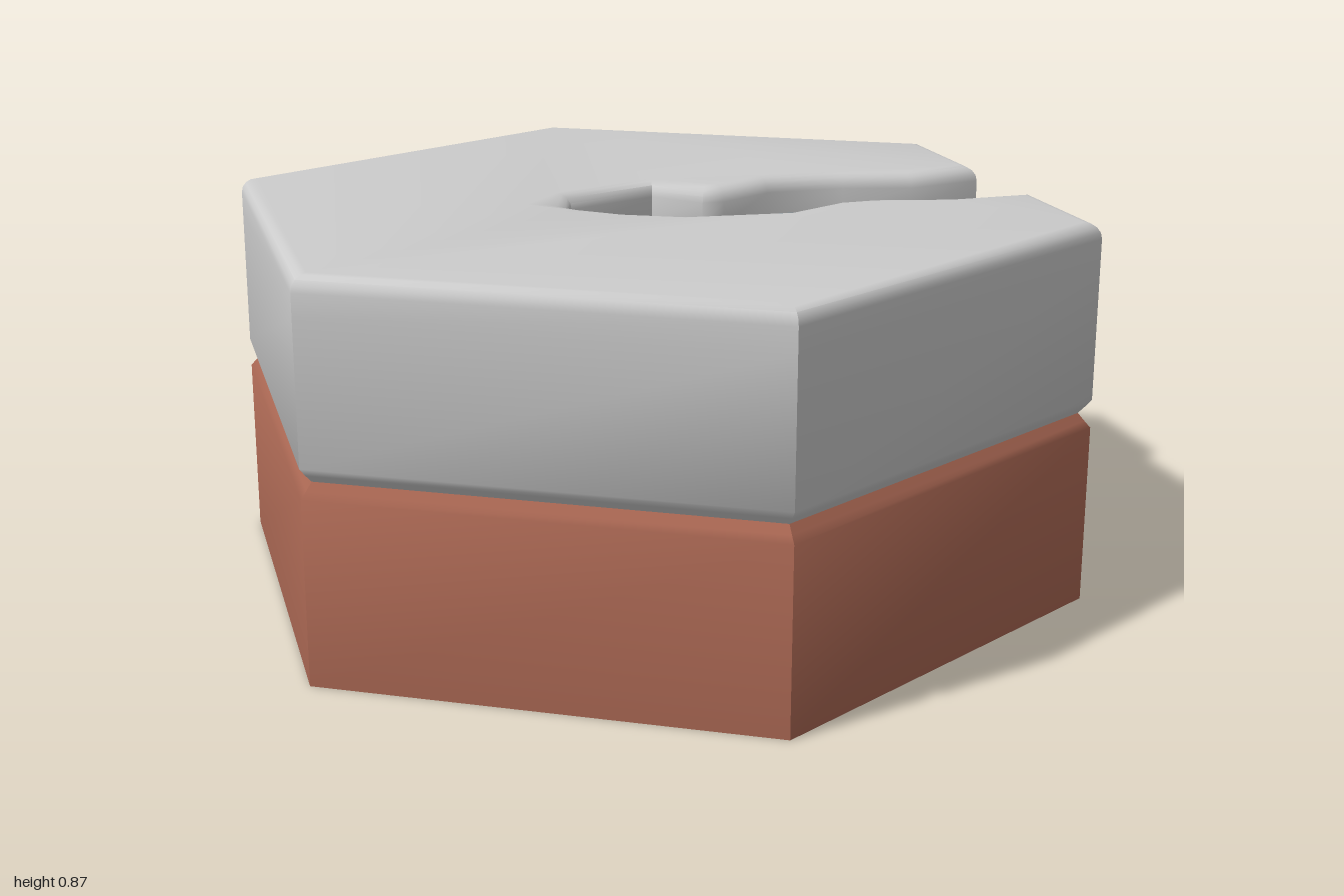
import * as THREE from 'three';
import { mergeGeometries, toCreasedNormals } from 'three/addons/utils/BufferGeometryUtils.js';

const A = 0.866; // distance from centre to a flat side
const FLOOR = 0.78, TOP = 0.866, SEAM = 0.437, R = 0.035;

// Outlines are counter-clockwise plan points [x, -z, reach]; reach widens the bevel there.
const hexagon = [[A, 0.5], [0, 1], [-A, 0.5], [-A, -0.5], [0, -1], [A, -0.5]];
const river = [
  [A, -0.15], [0.66, -0.155], [0.49, -0.115], [0.4, -0.12], [0.26, -0.19], [0.03, -0.17],
  [-0.09, -0.11], [-0.165, -0.045], [-0.185, 0.02, 2.6], [-0.16, 0.1], [0.055, 0.185],
  [0.15, 0.09], [0.2, 0.085], [0.33, 0.155], [0.52, 0.155], [0.68, 0.115], [A, 0.155],
];

// Move every edge of an outline inwards by d, with mitred corners.
function inset(loop, d) {
  const n = loop.length;
  const normal = (p, q) => {
    const l = Math.hypot(q[0] - p[0], q[1] - p[1]);
    return [-(q[1] - p[1]) / l, (q[0] - p[0]) / l];
  };
  return loop.map((p, i) => {
    const a = normal(loop[(i + n - 1) % n], p), b = normal(p, loop[(i + 1) % n]);
    const k = d * (p[2] ?? 1) / (1 + a[0] * b[0] + a[1] * b[1]);
    return [p[0] + (a[0] + b[0]) * k, p[1] + (a[1] + b[1]) * k];
  });
}

// Wall through a rising profile of [inset, height] rings.
function wall(loop, profile) {
  const rings = profile.map(([d, y]) => inset(loop, d).map(([x, v]) => [x, y, -v]));
  const pos = [];
  for (let k = 0; k < rings.length - 1; k++) {
    for (let i = 0; i < loop.length; i++) {
      const j = (i + 1) % loop.length;
      const a = rings[k][i], b = rings[k][j], c = rings[k + 1][j], d = rings[k + 1][i];
      pos.push(...a, ...b, ...c, ...a, ...c, ...d);
    }
  }
  return new THREE.BufferGeometry().setAttribute('position', new THREE.Float32BufferAttribute(pos, 3));
}

// Flat face filling an outline at height y.
function cap(loop, y, down = false) {
  const shape = new THREE.Shape(loop.map(([x, v]) => new THREE.Vector2(x, v)));
  const g = new THREE.ShapeGeometry(shape).toNonIndexed();
  g.deleteAttribute('uv').deleteAttribute('normal');
  return g.rotateX(down ? Math.PI / 2 : -Math.PI / 2).translate(0, y, 0);
}

function part(name, color, geometries) {
  const geometry = toCreasedNormals(mergeGeometries(geometries), 0.7);
  const mesh = new THREE.Mesh(geometry, new THREE.MeshStandardMaterial({ color }));
  mesh.name = name;
  return mesh;
}

export function createModel() {
  const group = new THREE.Group();
  group.name = 'riverTile';

  // Earth base with a chamfer up to the seam
  group.add(part('earthBase', 0xa86652, [
    cap(hexagon, 0, true),
    wall(hexagon, [[0, 0], [0, 0.405], [0.012, 0.42], [0.025, SEAM]]),
  ]));

  // Stone slab: plain sides up to the river floor, then the notched outline with a rounded rim
  const sides = [...hexagon, river[0], river[river.length - 1]];
  const notched = [...hexagon.slice(1), ...[hexagon[5]].slice(1), ...river, hexagon[0]];
  const rim = [[0, FLOOR]];
  for (let i = 0; i <= 4; i++) {
    const t = (i / 4) * Math.PI / 2;
    rim.push([R * (1 - Math.cos(t)), TOP - R + R * Math.sin(t)]);
  }
  group.add(part('stoneSlab', 0xcccccc, [
    wall(sides, [[0.025, SEAM], [0.012, 0.453], [0, 0.47], [0, FLOOR]]),
    wall(notched, rim),
    cap(inset(notched, R), TOP),
  ]));

  // River bed
  group.add(part('riverBed', 0x7f8c92, [cap(river, FLOOR)]));
  return group;
}
